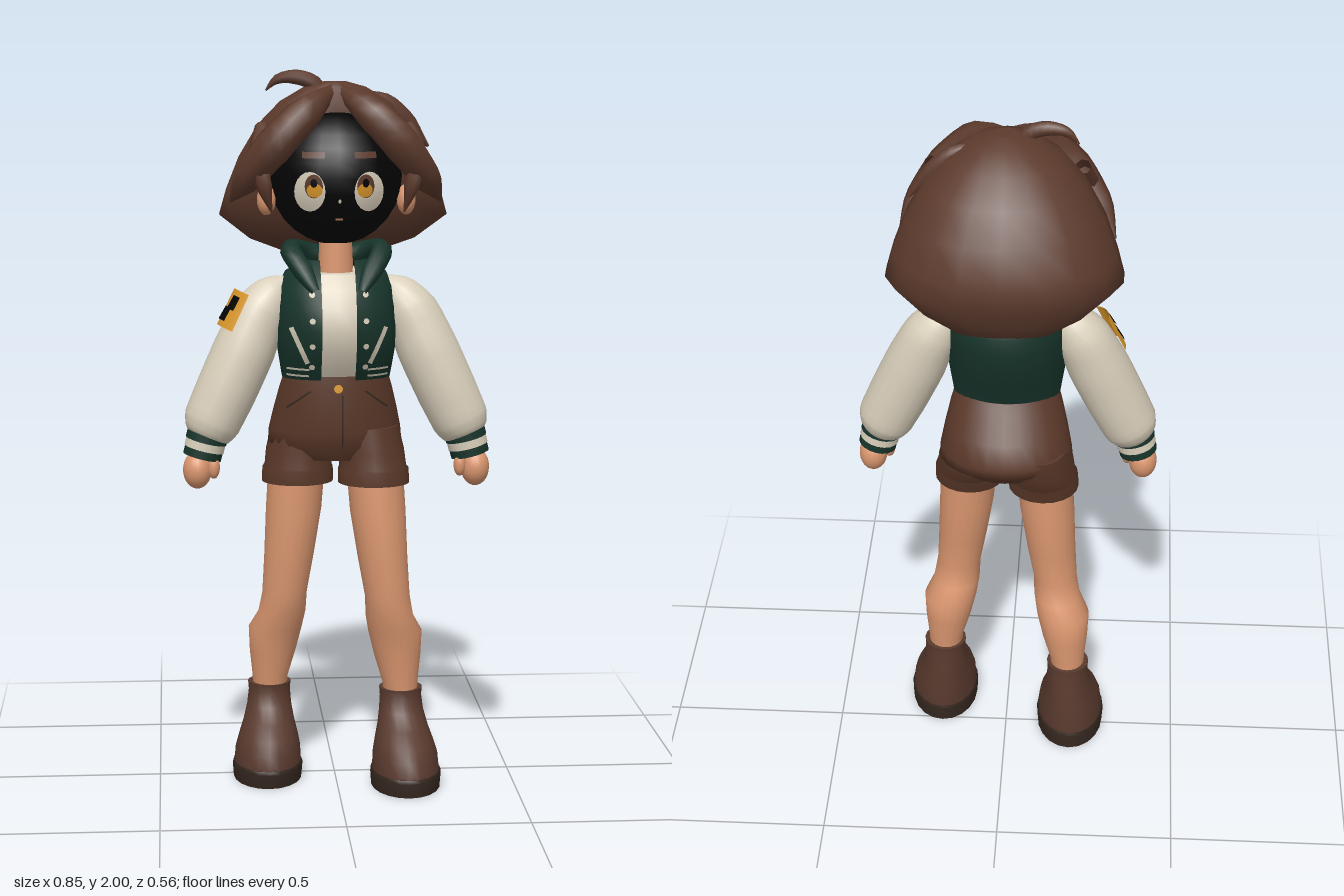
import * as THREE from 'three';

const mat = (name, color, side = THREE.FrontSide) => {
  const m = new THREE.MeshStandardMaterial({ color, side });
  m.name = name;
  return m;
};
const D = THREE.DoubleSide;

// Surface through rings [y, centreX, radiusX, frontZ, backZ, widestZ], ascending in y; gap leaves the front open
function loft(rings, { sides = 20, gap = 0, power = 2, cap = true } = {}) {
  const mid = r => [r[0], r[1], 1e-4, (r[3] + r[4]) / 2 + 1e-4, (r[3] + r[4]) / 2 - 1e-4];
  const first = rings[0], last = rings[rings.length - 1];
  const rows = cap ? [mid(first), first, ...rings, last, mid(last)] : rings;
  const pos = [], idx = [], w = sides + 1;
  const se = v => Math.sign(v) * Math.abs(v) ** (2 / power);
  for (const [y, cx, rx, zf, zb, cz = (zf + zb) / 2] of rows) {
    const t0 = gap ? Math.asin(Math.min(1, gap / rx)) : 0;
    for (let j = 0; j <= sides; j++) {
      const t = t0 + (Math.PI * 2 - 2 * t0) * (gap ? j / sides : (j % sides) / sides);
      const c = se(Math.cos(t));
      pos.push(cx + rx * se(Math.sin(t)), y, cz + c * (c > 0 ? zf - cz : cz - zb));
    }
  }
  for (let i = 0; i < rows.length - 1; i++) for (let j = 0; j < sides; j++) {
    const k = gap ? j + 1 : (j + 1) % sides;
    const a = i * w + j, b = i * w + k, c = a + w, d = b + w;
    idx.push(a, b, c, b, d, c);
  }
  return build(pos, idx);
}

function build(pos, idx) {
  const g = new THREE.BufferGeometry();
  g.setAttribute('position', new THREE.Float32BufferAttribute(pos, 3));
  g.setIndex(idx);
  g.computeVertexNormals();
  return g;
}

// Tapered tube through points [x, y, z, radius]
function sweep(pts, steps = 14, sides = 10) {
  const curve = new THREE.CatmullRomCurve3(pts.map(p => new THREE.Vector3(p[0], p[1], p[2])));
  const { normals, binormals } = curve.computeFrenetFrames(steps, false);
  const pos = [], idx = [];
  for (let i = 0; i <= steps; i++) {
    const t = i / steps, f = t * (pts.length - 1), k = Math.min(pts.length - 2, Math.floor(f));
    const r = THREE.MathUtils.lerp(pts[k][3], pts[k + 1][3], f - k);
    const c = curve.getPoint(t), n = normals[i], b = binormals[i];
    for (let j = 0; j < sides; j++) {
      const a = j / sides * Math.PI * 2, u = Math.cos(a) * r, v = Math.sin(a) * r;
      pos.push(c.x + n.x * u + b.x * v, c.y + n.y * u + b.y * v, c.z + n.z * u + b.z * v);
    }
  }
  for (let i = 0; i < steps; i++) for (let j = 0; j < sides; j++) {
    const a = i * sides + j, b = i * sides + (j + 1) % sides;
    idx.push(a, b, a + sides, b, b + sides, a + sides);
  }
  return build(pos, idx);
}

// Front height of a ring surface at x, y
const frontZ = rings => (x, y) => {
  let i = 0;
  while (i < rings.length - 2 && y > rings[i + 1][0]) i++;
  const t = (y - rings[i][0]) / (rings[i + 1][0] - rings[i][0]);
  const [, , rx, zf, zb] = rings[i].map((v, k) => THREE.MathUtils.lerp(v, rings[i + 1][k], t));
  return (zf + zb) / 2 + (zf - zb) / 2 * Math.sqrt(Math.max(0, 1 - (x / rx) ** 2));
};

// Oval patch or straight strip laid on a surface
function drape(g, surface, lift) {
  const p = g.attributes.position;
  for (let i = 0; i < p.count; i++) p.setZ(i, surface(p.getX(i), p.getY(i)) + lift);
  g.computeVertexNormals();
  return g;
}
const oval = (x, y, rx, ry, s, lift) =>
  drape(new THREE.RingGeometry(0.001, 1, 20, 4).scale(rx, ry, 1).translate(x, y, 0), s, lift);
function strip(a, b, width, s, lift) {
  const dx = b[0] - a[0], dy = b[1] - a[1];
  const g = new THREE.PlaneGeometry(Math.hypot(dx, dy), width, 6, 1).rotateZ(Math.atan2(dy, dx));
  return drape(g.translate((a[0] + b[0]) / 2, (a[1] + b[1]) / 2, 0), s, lift);
}

export function createModel() {
  const root = new THREE.Group();
  root.name = 'girl';
  const hair = mat('hairBrown', 0x5c3a2c, D), cloth = mat('shortsBrown', 0x5a3829, D);
  const leather = mat('bootBrown', 0x593a2e), sole = mat('soleBrown', 0x35271f, D);
  const skin = mat('skin', 0xdb9770), cream = mat('cream', 0xd9cfbb, D);
  const green = mat('jacketGreen', 0x17342b, D), black = mat('faceBlack', 0x040404, D);
  const gold = mat('gold', 0xd8962a, D);
  const add = (name, geo, material) => {
    const m = new THREE.Mesh(geo, material);
    m.name = name;
    root.add(m);
  };
  const ball = (x, y, z, rx, ry, rz) =>
    new THREE.SphereGeometry(1, 20, 14).scale(rx, ry, rz).translate(x, y, z);

  // Legs, boots and shorts legs; the right leg stands further back
  for (const s of [1, -1]) {
    const side = s > 0 ? 'left' : 'right';
    const place = rings => rings.map(([y, x, rx, zf, zb]) => {
      const o = s > 0 ? 0 : -0.11 + 0.08 * y;
      return [y, x * s, rx, zf + o, zb + o];
    });
    add(side + 'Leg', loft(place([[0.22, 0.184, 0.048, 0.112, 0.008], [0.28, 0.183, 0.05, 0.118, 0.006],
      [0.36, 0.175, 0.066, 0.128, -0.008], [0.43, 0.168, 0.076, 0.14, -0.012], [0.48, 0.15, 0.067, 0.155, 0.01],
      [0.54, 0.143, 0.063, 0.162, 0.025], [0.65, 0.13, 0.07, 0.165, 0.005], [0.78, 0.117, 0.078, 0.165, -0.01],
      [0.95, 0.105, 0.08, 0.15, -0.02]])), skin);
    add(side + 'Boot', loft(place([[0.045, 0.193, 0.095, 0.27, -0.01], [0.09, 0.192, 0.092, 0.262, -0.012],
      [0.125, 0.19, 0.083, 0.235, -0.01], [0.16, 0.188, 0.072, 0.185, -0.008], [0.2, 0.186, 0.063, 0.135, -0.006],
      [0.24, 0.185, 0.059, 0.118, -0.002], [0.265, 0.185, 0.061, 0.12, -0.004]])), leather);
    add(side + 'Sole', loft(place([[0, 0.193, 0.097, 0.272, -0.012], [0.04, 0.193, 0.1, 0.278, -0.015],
      [0.05, 0.193, 0.096, 0.272, -0.012]])), sole);
    add(side + 'ShortsLeg', loft(place([[0.86, 0.106, 0.1, 0.167, -0.03], [0.9, 0.105, 0.099, 0.168, -0.045],
      [0.905, 0.104, 0.094, 0.163, -0.045], [0.95, 0.1, 0.093, 0.16, -0.075], [1.02, 0.092, 0.085, 0.15, -0.09]])), cloth);
  }

  // Hips of the shorts with fastening and pocket seams
  const hips = [[0.93, 0, 0.13, 0.13, -0.08], [0.97, 0, 0.188, 0.155, -0.122], [1.01, 0, 0.185, 0.165, -0.143],
    [1.07, 0, 0.172, 0.168, -0.105], [1.13, 0, 0.157, 0.168, -0.065], [1.17, 0, 0.145, 0.165, -0.04]];
  const hipZ = frontZ(hips);
  add('shortsHips', loft(hips, { sides: 24 }), cloth);
  add('shortsButton', oval(0, 1.138, 0.012, 0.012, hipZ, 0.006), gold);
  add('flySeam', strip([0.012, 1.12], [0.012, 0.97], 0.004, hipZ, 0.003), sole);
  for (const s of [1, -1]) add('pocketSeam', strip([s * 0.075, 1.13], [s * 0.14, 1.08], 0.005, hipZ, 0.003), sole);

  // Shirt and open jacket
  const coat = [[1.16, 0, 0.15, 0.165, -0.035], [1.19, 0, 0.155, 0.185, -0.045], [1.24, 0, 0.163, 0.215, -0.065],
    [1.3, 0, 0.167, 0.233, -0.088], [1.36, 0, 0.165, 0.222, -0.1], [1.41, 0, 0.16, 0.195, -0.098],
    [1.45, 0, 0.14, 0.16, -0.08], [1.485, 0, 0.085, 0.125, -0.05]];
  const coatZ = frontZ(coat);
  add('jacket', loft(coat, { sides: 32, gap: 0.047, cap: false }), green);
  const shirt = coat.slice(0, 7).map(([y, x, rx, zf, zb]) => [y, x, rx * 0.93, zf - 0.012, zb + 0.012]);
  add('shirt', loft(shirt, { sides: 24 }), cream);
  add('shirtNeckband', new THREE.TorusGeometry(0.055, 0.01, 8, 20).rotateX(Math.PI / 2 + 0.35).translate(0, 1.445, 0.08), cream);
  add('neck', new THREE.CylinderGeometry(0.043, 0.05, 0.15, 16).translate(0, 1.505, 0.055), skin);

  for (const s of [1, -1]) {
    const side = s > 0 ? 'left' : 'right';
    add(side + 'Collar', sweep([[0.062 * s, 1.405, 0.185, 0.012], [0.092 * s, 1.455, 0.145, 0.028], [0.125 * s, 1.508, 0.085, 0.03],
      [0.105 * s, 1.505, 0.01, 0.03], [0.05 * s, 1.49, -0.025, 0.03], [0, 1.485, -0.035, 0.03]]), green);
    // Buttons, pocket trim and hem stripes
    for (const y of [1.2, 1.26, 1.33, 1.4]) add('jacketButton', oval(s * 0.073, y, 0.008, 0.008, coatZ, 0.005), cream);
    add('pocketTrim', strip([s * 0.13, 1.31], [s * 0.085, 1.21], 0.013, coatZ, 0.005), cream);
    for (const y of [1.173, 1.192]) add('hemStripe', strip([s * 0.08, y], [s * 0.14, y], 0.006, coatZ, 0.005), cream);

    // Sleeves, striped cuffs and hands
    add(side + 'Sleeve', sweep([[0.12 * s, 1.43, 0.05, 0.01], [0.165 * s, 1.395, 0.052, 0.055], [0.205 * s, 1.345, 0.056, 0.076],
      [0.255 * s, 1.235, 0.07, 0.086], [0.305 * s, 1.125, 0.08, 0.085], [0.347 * s, 1.035, 0.086, 0.08],
      [0.362 * s, 1.0, 0.09, 0.062], [0.368 * s, 0.985, 0.092, 0.02]], 24, 18), cream);
    const cuff = new THREE.Group();
    cuff.name = side + 'Cuff';
    [[0.023, green, 0.058], [0, cream, 0.056], [-0.023, green, 0.054]].forEach(([y, m, r]) => {
      const band = new THREE.Mesh(new THREE.CylinderGeometry(r, r, 0.025, 18), m);
      band.name = 'cuffBand';
      band.position.y = y;
      cuff.add(band);
    });
    cuff.position.set(0.365 * s, 0.975, 0.092);
    cuff.rotation.z = 0.25 * s;
    root.add(cuff);
    add(side + 'Hand', ball(0.387 * s, 0.905, 0.097, 0.04, 0.053, 0.045), skin);
    add(side + 'Thumb', ball(0.342 * s, 0.915, 0.115, 0.017, 0.033, 0.02), skin);
    add(side + 'Ear', ball(0.192 * s, 1.65, 0.083, 0.026, 0.042, 0.033), skin);
  }

  // Badge wrapped round the right upper sleeve, with a dark stepped mark
  const badge = new THREE.Group();
  badge.name = 'sleeveBadge';
  const wrap = (r, y, h, t, l, m) => {
    const p = new THREE.Mesh(new THREE.CylinderGeometry(r, r + 0.004, h, 8, 1, true, t, l), m);
    p.name = 'badgePlate';
    p.position.y = y;
    badge.add(p);
  };
  wrap(0.086, 0, 0.11, -1.75, 1.2, gold);
  wrap(0.089, 0.018, 0.04, -1.15, 0.35, black);
  wrap(0.089, -0.018, 0.04, -1.5, 0.5, black);
  badge.position.set(-0.224, 1.32, 0.06);
  badge.rotation.set(-0.07, 0, -0.42);
  root.add(badge);

  // Head and painted face
  const C = [0, 1.713, 0.055], R = [0.183, 0.188, 0.178];
  const faceZ = (x, y) => C[2] + R[2] * Math.sqrt(Math.max(0, 1 - (x / R[0]) ** 2 - ((y - C[1]) / R[1]) ** 2));
  add('head', ball(...C, ...R), black);
  for (const s of [1, -1]) {
    add('eyeWhite', oval(s * 0.08, 1.68, 0.041, 0.054, faceZ, 0.003), cream);
    add('iris', oval(s * 0.07, 1.695, 0.024, 0.032, faceZ, 0.005), hair);
    add('irisGlow', oval(s * 0.068, 1.684, 0.021, 0.019, faceZ, 0.007), gold);
    add('pupil', oval(s * 0.07, 1.704, 0.009, 0.012, faceZ, 0.008), black);
    add('eyebrow', strip([s * 0.04, 1.778], [s * 0.1, 1.778], 0.017, faceZ, 0.004), hair);
  }
  add('nose', oval(0, 1.655, 0.004, 0.006, faceZ, 0.004), cream);
  add('mouth', strip([-0.01, 1.605], [0.01, 1.605], 0.005, faceZ, 0.004), skin);

  // Bell-shaped hair, widest just behind the ears
  add('hairMass', loft([[1.485, 0, 0.13, -0.13, -0.205, -0.17], [1.53, 0, 0.235, -0.015, -0.24, -0.1],
    [1.6, 0, 0.322, 0.03, -0.268, -0.05], [1.67, 0, 0.302, 0.06, -0.28, -0.04], [1.76, 0, 0.267, 0.09, -0.236, -0.02],
    [1.85, 0, 0.214, 0.115, -0.187, 0], [1.915, 0, 0.152, 0.12, -0.12, 0.02], [1.955, 0, 0.085, 0.1, -0.05, 0.03],
    [1.97, 0, 0.03, 0.06, 0, 0.03]], { sides: 18, power: 2.15 }), hair);

  // Fringe, side locks and loose strands
  for (const s of [1, -1]) {
    add('fringe', sweep([[0, 1.955, 0.065, 0.012], [0.09 * s, 1.888, 0.155, 0.048], [0.175 * s, 1.8, 0.165, 0.053],
      [0.245 * s, 1.71, 0.12, 0.042], [0.29 * s, 1.645, 0.06, 0.004]], 14, 8), hair);
    add('sideLock', sweep([[0.2 * s, 1.85, 0.08, 0.022], [0.215 * s, 1.77, 0.14, 0.028],
      [0.2 * s, 1.69, 0.165, 0.022], [0.18 * s, 1.62, 0.15, 0.002]], 12, 7), hair);
  }
  add('curl', sweep([[-0.03, 1.92, 0.04, 0.02], [-0.06, 1.965, 0.042, 0.022], [-0.11, 1.982, 0.037, 0.02],
    [-0.16, 1.975, 0.03, 0.013], [-0.19, 1.945, 0.025, 0.002]], 12, 8), hair);
  add('topStrand', sweep([[0.08, 1.93, 0.02, 0.015], [0.14, 1.91, 0.015, 0.027], [0.2, 1.86, 0.01, 0.025],
    [0.26, 1.79, 0, 0.004]], 10, 8), hair);
  return root;
}
